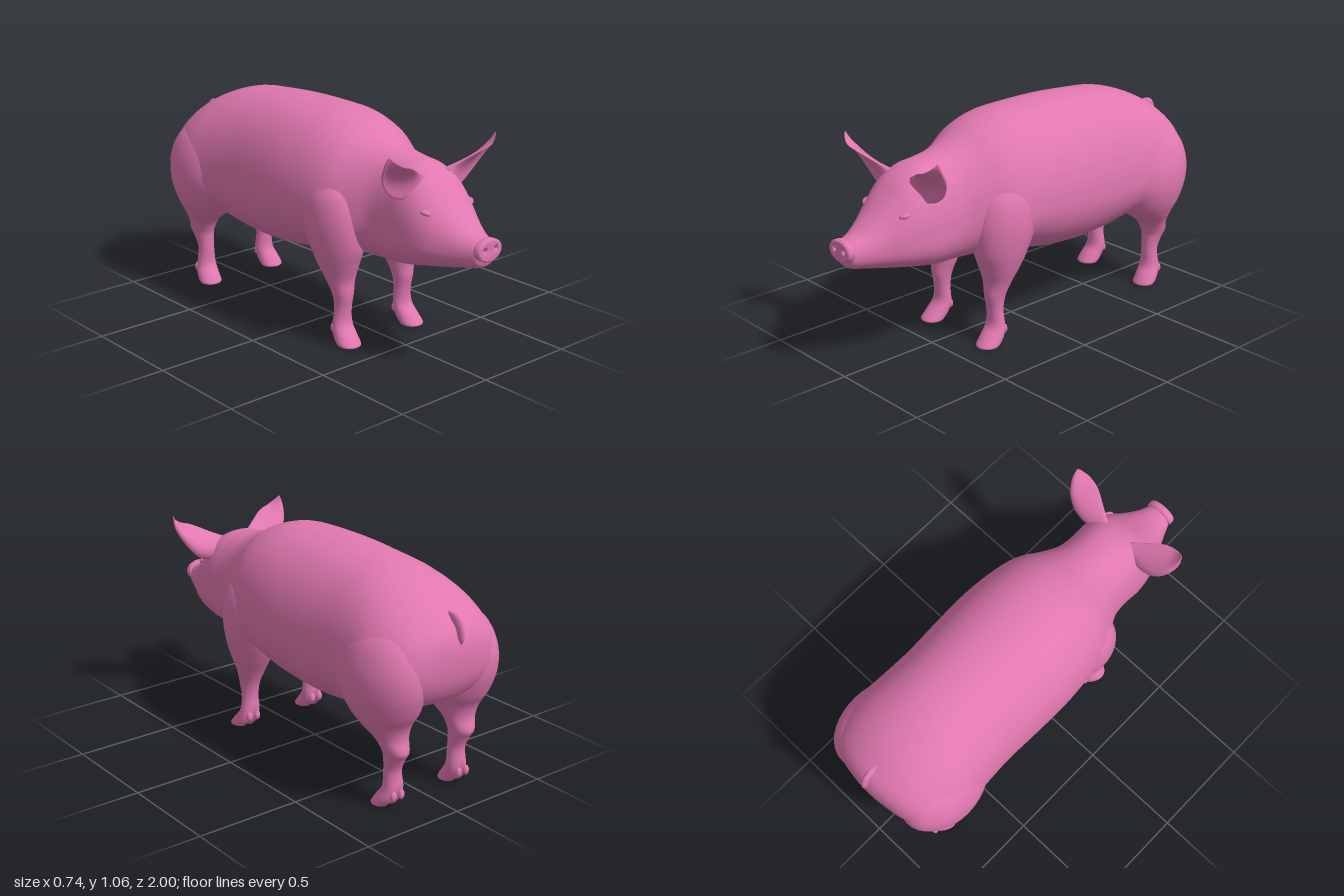
import * as THREE from 'three';
import { toCreasedNormals } from 'three/addons/utils/BufferGeometryUtils.js';

const skin = new THREE.MeshStandardMaterial({ color: 0xe078b0 });

// Smoothly interpolate rows of numbers (Catmull-Rom on every column).
function smoothRows(rows, steps) {
  const out = [], last = rows.length - 1;
  for (let k = 0; k <= last * steps; k++) {
    const i = Math.min(Math.floor(k / steps), last - 1), t = k / steps - i;
    const [a, b, c, d] = [-1, 0, 1, 2].map(o => rows[Math.max(0, Math.min(last, i + o))]);
    out.push(b.map((_, n) => b[n] + 0.5 * t * (c[n] - a[n] + t * (2 * a[n] - 5 * b[n] + 4 * c[n] - d[n]
      + t * (3 * (b[n] - c[n]) + d[n] - a[n])))));
  }
  return out;
}

// Skin a closed surface through rings: point(row, angle) gives [x, y, z].
function loft(rows, steps, sides, point, flip = false) {
  const pos = [], index = [], rings = smoothRows(rows, steps);
  const tri = (a, b, c) => (flip ? index.push(a, c, b) : index.push(a, b, c));
  for (const r of rings)
    for (let j = 0; j < sides; j++) pos.push(...point(r, (j / sides) * Math.PI * 2));
  for (let i = 0; i < rings.length - 1; i++)
    for (let j = 0; j < sides; j++) {
      const a = i * sides + j, b = i * sides + (j + 1) % sides;
      tri(a, b, a + sides);
      tri(b, b + sides, a + sides);
    }
  // End caps
  for (const end of [0, rings.length - 1]) {
    const o = end * sides, c = pos.length / 3, mid = [0, 0, 0];
    for (let j = 0; j < sides; j++) for (let n = 0; n < 3; n++) mid[n] += pos[(o + j) * 3 + n] / sides;
    pos.push(...mid);
    for (let j = 0; j < sides; j++) {
      const a = o + j, b = o + (j + 1) % sides;
      end ? tri(a, b, c) : tri(b, a, c);
    }
  }
  const g = new THREE.BufferGeometry();
  g.setAttribute('position', new THREE.Float32BufferAttribute(pos, 3));
  g.setIndex(index);
  g.computeVertexNormals();
  return g;
}

const power = (v, n) => Math.sign(v) * Math.abs(v) ** (2 / n);

// Torso and head: z, bottom, top, half width, height of widest point, squareness
const bodyRows = [
  [-0.986, 0.71, 0.73, 0.01, 0.72, 2], [-0.978, 0.63, 0.78, 0.09, 0.70, 2],
  [-0.955, 0.56, 0.83, 0.2, 0.67, 2], [-0.91, 0.5, 0.875, 0.275, 0.65, 2.1],
  [-0.83, 0.46, 0.935, 0.325, 0.63, 2.1], [-0.72, 0.44, 0.99, 0.35, 0.62, 2.1],
  [-0.58, 0.385, 1.033, 0.34, 0.62, 2.1], [-0.42, 0.345, 1.05, 0.332, 0.63, 2.1],
  [-0.25, 0.335, 1.06, 0.338, 0.64, 2.1], [-0.05, 0.355, 1.06, 0.343, 0.65, 2.1],
  [0.12, 0.395, 1.052, 0.33, 0.65, 2.1], [0.25, 0.42, 1.015, 0.305, 0.64, 2.1],
  [0.35, 0.42, 0.965, 0.25, 0.63, 2.1], [0.44, 0.42, 0.932, 0.203, 0.62, 2.2],
  [0.53, 0.425, 0.915, 0.192, 0.61, 2.3], [0.61, 0.44, 0.902, 0.195, 0.6, 2.4],
  [0.69, 0.457, 0.86, 0.185, 0.6, 2.4], [0.76, 0.47, 0.79, 0.163, 0.59, 2.3],
  [0.83, 0.483, 0.72, 0.128, 0.58, 2.2], [0.9, 0.498, 0.665, 0.094, 0.575, 2.2],
  [0.95, 0.509, 0.645, 0.073, 0.575, 2.2], [0.972, 0.522, 0.635, 0.062, 0.575, 2.2],
  [0.98, 0.545, 0.62, 0.04, 0.58, 2],
];
const bodyPoint = ([z, lo, hi, w, mid, n], a) => {
  const s = Math.sin(a);
  return [w * power(Math.cos(a), n), mid + (s > 0 ? hi - mid : mid - lo) * power(s, n), z];
};

// Legs: y, x of inner and outer side, z of back and front
const frontLegRows = [
  [0.004, 0.155, 0.24, 0.295, 0.375], [0.012, 0.142, 0.255, 0.275, 0.386],
  [0.05, 0.14, 0.25, 0.242, 0.355], [0.1, 0.14, 0.24, 0.236, 0.315],
  [0.17, 0.145, 0.23, 0.238, 0.314], [0.24, 0.138, 0.238, 0.226, 0.326],
  [0.31, 0.12, 0.258, 0.193, 0.328], [0.39, 0.1, 0.288, 0.145, 0.355],
  [0.48, 0.08, 0.312, 0.1, 0.385], [0.6, 0.08, 0.328, 0.06, 0.39],
  [0.72, 0.09, 0.312, 0.08, 0.36], [0.82, 0.13, 0.25, 0.15, 0.28],
];
const hindLegRows = [
  [0.004, 0.155, 0.24, -0.775, -0.697], [0.012, 0.142, 0.255, -0.79, -0.687],
  [0.05, 0.14, 0.25, -0.822, -0.71], [0.1, 0.14, 0.236, -0.832, -0.742],
  [0.18, 0.148, 0.228, -0.826, -0.744], [0.24, 0.144, 0.236, -0.85, -0.744],
  [0.28, 0.136, 0.248, -0.872, -0.738], [0.34, 0.12, 0.272, -0.858, -0.705],
  [0.4, 0.09, 0.31, -0.872, -0.625], [0.47, 0.06, 0.345, -0.915, -0.55],
  [0.57, 0.05, 0.368, -0.95, -0.49], [0.68, 0.06, 0.36, -0.95, -0.49],
  [0.79, 0.08, 0.315, -0.9, -0.54], [0.88, 0.14, 0.22, -0.78, -0.66],
];
const legPoint = side => ([y, x0, x1, z0, z1], a) => {
  const c = Math.cos(a), s = -Math.sin(a);
  // cleft up the back of the foot
  const cleft = y < 0.12 && s < 0 ? 0.03 * Math.exp(-((c / 0.25) ** 2)) * (1 - y / 0.12) : 0;
  return [side * (x0 + x1) / 2 + c * (x1 - x0) / 2, y, (z0 + z1) / 2 + s * (z1 - z0) / 2 + cleft];
};

// Ears: upper edge xyz, lower edge xyz, cup depth, half thickness
const earRows = [
  [0.07, 0.87, 0.65, 0.12, 0.77, 0.645, 0.0, 0.03],
  [0.135, 0.9, 0.69, 0.19, 0.775, 0.635, 0.025, 0.024],
  [0.205, 0.935, 0.728, 0.25, 0.81, 0.63, 0.035, 0.016],
  [0.265, 0.955, 0.738, 0.3, 0.875, 0.65, 0.03, 0.012],
  [0.302, 0.98, 0.725, 0.325, 0.94, 0.685, 0.012, 0.01],
  [0.318, 1.0, 0.711, 0.322, 0.996, 0.707, 0, 0.003],
];
const earPoint = side => ([ux, uy, uz, lx, ly, lz, cup, thick], a) => {
  const c = Math.cos(a), s = Math.sin(a), t = (1 + c) / 2;
  return [side * (lx + (ux - lx) * t), ly + (uy - ly) * t, lz + (uz - lz) * t + thick * s - cup * s * s];
};

// Snout disc with two nostril holes
function snoutGeometry() {
  const shape = new THREE.Shape().absellipse(0, 0, 0.063, 0.042, 0, Math.PI * 2);
  for (const side of [-1, 1])
    shape.holes.push(new THREE.Path().absellipse(side * 0.033, 0.006, 0.017, 0.019, 0, Math.PI * 2));
  const g = new THREE.ExtrudeGeometry(shape, {
    depth: 0.018, bevelThickness: 0.01, bevelSize: 0.01, bevelSegments: 4, curveSegments: 24,
  });
  return toCreasedNormals(g.translate(0, 0.597, 0.972), 0.8);
}

export function createModel() {
  const model = new THREE.Group();
  const add = (name, geometry) => {
    const mesh = new THREE.Mesh(geometry, skin);
    mesh.name = name;
    model.add(mesh);
    return mesh;
  };

  add('body', loft(bodyRows, 5, 64, bodyPoint));
  add('snout', snoutGeometry());

  for (const side of [1, -1]) {
    const label = side > 0 ? 'left' : 'right';
    add(label + 'FrontLeg', loft(frontLegRows, 5, 36, legPoint(side)));
    add(label + 'HindLeg', loft(hindLegRows, 5, 36, legPoint(side)));
    add(label + 'Ear', loft(earRows, 6, 32, earPoint(side), side < 0));

    // Closed eyelid
    const eye = add(label + 'Eyelid', new THREE.SphereGeometry(1, 20, 14));
    eye.scale.set(0.014, 0.012, 0.026);
    eye.position.set(side * 0.137, 0.73, 0.745);
    eye.rotation.set(0.25, side * -0.5, 0);

    // Dewclaws
    for (const z of [0.243, -0.825]) {
      for (const dx of [-0.022, 0.022]) {
        const claw = add(label + 'Dewclaw', new THREE.SphereGeometry(1, 12, 10));
        claw.scale.set(0.016, 0.024, 0.014);
        claw.position.set(side * 0.193 + dx, 0.07, z);
      }
    }
  }

  // Short hanging tail: y, x sides, z back and front
  add('tail', loft([
    [0.775, -0.004, 0.004, -0.99, -0.98], [0.8, -0.012, 0.012, -0.998, -0.965],
    [0.84, -0.014, 0.014, -0.996, -0.95], [0.88, -0.015, 0.015, -0.98, -0.91],
    [0.9, -0.009, 0.009, -0.955, -0.9],
  ], 5, 16, legPoint(1)));

  return model;
}
